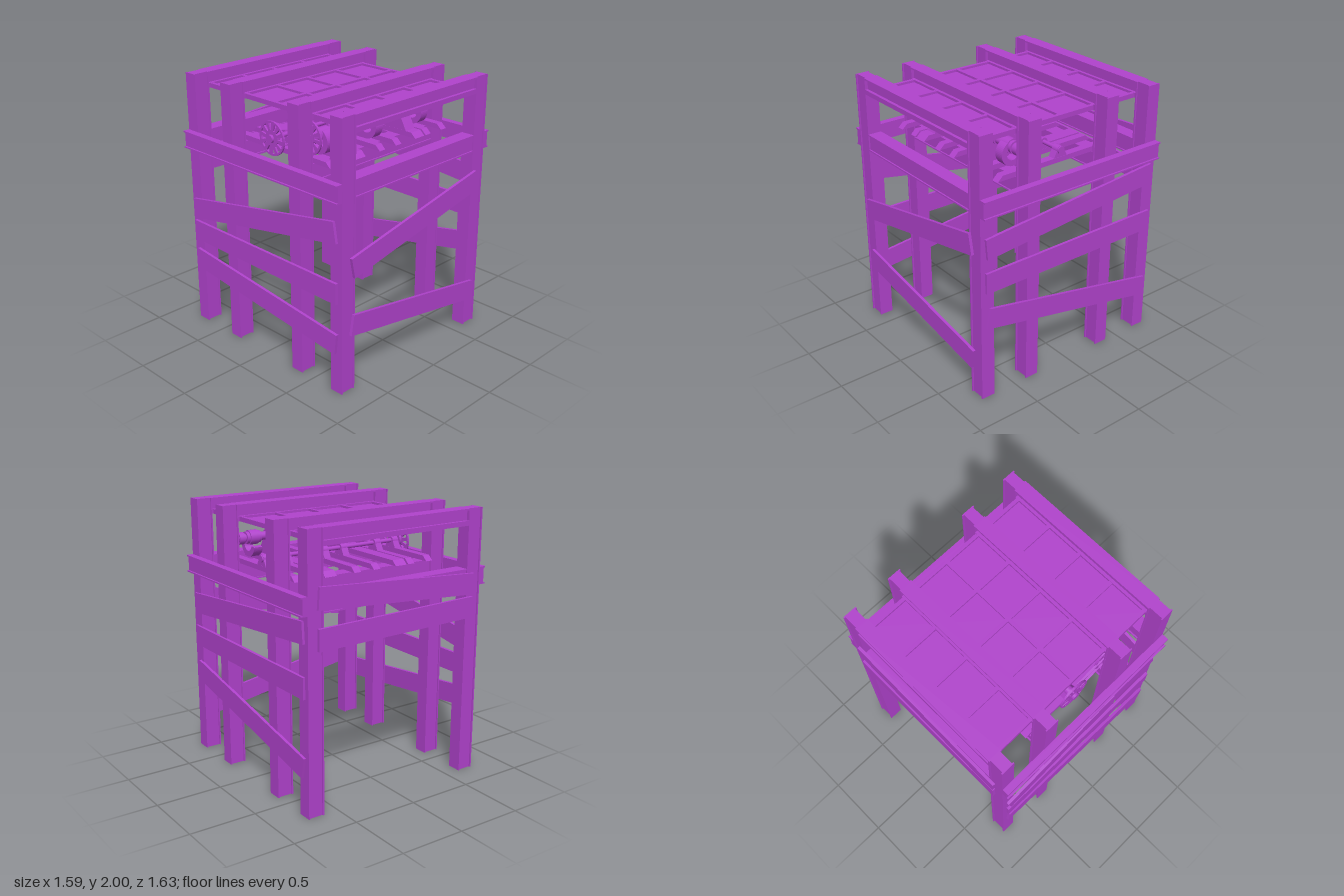
import * as THREE from 'three';

const mat = new THREE.MeshStandardMaterial({ color: 0xb042cc, flatShading: true });
const smooth = new THREE.MeshStandardMaterial({ color: 0xb042cc });

function add(parent, name, geo, x = 0, y = 0, z = 0, m = mat) {
  const mesh = new THREE.Mesh(geo, m);
  mesh.name = name;
  mesh.position.set(x, y, z);
  parent.add(mesh);
  return mesh;
}
const box = (p, name, w, h, d, x, y, z) => add(p, name, new THREE.BoxGeometry(w, h, d), x, y, z);

// cylinder lying along x
function rod(p, name, r, len, x, y, z, sides = 24) {
  const g = new THREE.CylinderGeometry(r, r, len, sides).rotateZ(Math.PI / 2);
  return add(p, name, g, x, y, z, smooth);
}

// outline drawn in (z, y), extruded along x and centred on it
function plateAlongX(shape, width) {
  const g = new THREE.ExtrudeGeometry(shape, { depth: width, bevelEnabled: false, curveSegments: 16 });
  return g.translate(0, 0, -width / 2).rotateY(-Math.PI / 2);
}

// plank from (a, y0) to (b, y1), fixed to a side face or an end face
function plank(p, name, face, at, a, y0, b, y1) {
  const len = Math.hypot(b - a, y1 - y0), slope = Math.atan2(y1 - y0, b - a);
  const g = new THREE.BoxGeometry(len, 0.155, 0.022).rotateZ(slope);
  if (face === 'side') {
    g.rotateY(-Math.PI / 2);
    add(p, name, g, at, (y0 + y1) / 2, (a + b) / 2);
  } else add(p, name, g, (a + b) / 2, (y0 + y1) / 2, at);
}

// spoked wheel with wedge-shaped openings
function wheelGeometry(radius, width) {
  const s = new THREE.Shape().absarc(0, 0, radius, 0, Math.PI * 2);
  const n = 12, step = Math.PI * 2 / n;
  for (let i = 0; i < n; i++) {
    const a = i * step, h = new THREE.Path();
    h.absarc(0, 0, radius * 0.88, a, a + step * 0.5, false);
    h.absarc(0, 0, radius * 0.48, a + step * 0.45, a + step * 0.05, true);
    h.closePath();
    s.holes.push(h);
  }
  return plateAlongX(s, width);
}

export function createModel() {
  const model = new THREE.Group();
  model.name = 'machineFrame';
  const rows = [0.737, 0.343, -0.343, -0.737];

  // posts and cross beams
  for (const z of rows) {
    for (const s of [1, -1]) {
      const post = new THREE.Group();
      post.name = 'post';
      box(post, 'postWeb', 0.11, 2, 0.085, 0, 1, 0);
      for (const e of [1, -1]) box(post, 'postFlange', 0.01, 2, 0.107, e * 0.0575, 1, 0);
      post.position.set(s * 0.682, 0, z);
      model.add(post);
    }
    const roofBeam = new THREE.Group();
    roofBeam.name = 'roofBeam';
    box(roofBeam, 'web', 1.24, 0.1, 0.06, 0, 1.94, z);
    box(roofBeam, 'topFlange', 1.24, 0.012, 0.107, 0, 1.994, z);
    box(roofBeam, 'bottomFlange', 1.24, 0.035, 0.107, 0, 1.8975, z);
    model.add(roofBeam);
    const floorBeam = new THREE.Group();
    floorBeam.name = 'machineBeam';
    box(floorBeam, 'web', 1.24, 0.11, 0.085, 0, 1.503, z);
    for (const e of [1, -1]) box(floorBeam, 'flange', 1.24, 0.01, 0.107, 0, 1.503 + e * 0.06, z);
    model.add(floorBeam);
  }

  // long rails outside the posts
  for (const s of [1, -1]) {
    box(model, 'sideRail', 0.04, 0.11, 1.58, s * 0.763, 1.503, 0);
    for (const e of [1, -1]) box(model, 'sideRailFlange', 0.054, 0.01, 1.58, s * 0.77, 1.503 + e * 0.06, 0);
  }

  // roof panel with ribs
  box(model, 'roofPanel', 1.22, 0.015, 1.38, 0, 1.89, 0);
  for (const x of [-0.597, -0.298, 0, 0.298, 0.597]) box(model, 'roofRib', 0.028, 0.034, 1.38, x, 1.897, 0);
  box(model, 'middleRib', 1.22, 0.034, 0.03, 0, 1.897, 0);

  // bracing planks
  const planks = [
    ['side', 0.752, 0.75, 1.197, -0.75, 1.322],
    ['side', 0.752, 0.755, 0.94, -0.755, 0.94],
    ['side', 0.752, 0.737, 0.66, -0.742, 0.366],
    ['side', -0.757, 0.74, 1.222, -0.74, 0.957],
    ['side', -0.757, 0.755, 0.778, -0.755, 0.778],
    ['side', -0.757, 0.75, 0.39, -0.75, 0.545],
    ['end', 0.802, -0.658, 0.95, 0.658, 1.217],
    ['end', 0.802, -0.66, 0.522, 0.66, 0.302],
    ['end', -0.802, -0.67, 1.458, 0.67, 1.547],
    ['end', -0.802, -0.67, 1.287, 0.67, 1.267],
  ];
  for (const k of planks) plank(model, 'bracePlank', ...k);

  // machinery
  const machine = new THREE.Group();
  machine.name = 'driveMachinery';
  model.add(machine);
  const upper = { y: 1.742, z: 0.343 }, lower = { y: 1.657, z: 0 };

  // skids with chamfered ends
  const skid = new THREE.Shape([[0.54, 1.568], [0.5, 1.605], [-0.39, 1.605], [-0.43, 1.568]]
    .map(([z, y]) => new THREE.Vector2(z, y)));
  for (const x of [-0.575, -0.405, -0.31, -0.09, 0.08, 0.31, 0.405, 0.58])
    add(machine, 'skid', plateAlongX(skid, Math.abs(Math.abs(x) - 0.31) < 0.01 ? 0.1 : 0.058), x);

  // upper shaft, pedestals and collars
  rod(machine, 'upperShaft', 0.031, 1.21, 0, upper.y, upper.z);
  const pedestal = new THREE.Shape([[0.45, 1.6], [0.385, 1.72], [0.3, 1.72], [0.235, 1.6]]
    .map(([z, y]) => new THREE.Vector2(z, y)));
  for (const s of [1, -1]) {
    add(machine, 'upperPedestal', plateAlongX(pedestal, 0.098), s * 0.31);
    for (const dx of [-0.04, 0.04]) rod(machine, 'upperBearing', 0.044, 0.022, s * 0.31 + dx, upper.y, upper.z);
  }
  for (const [x, w, r] of [[-0.56, 0.07, 0.056], [-0.485, 0.09, 0.045], [-0.01, 0.115, 0.045],
    [-0.01, 0.07, 0.054], [0.48, 0.12, 0.045], [0.48, 0.07, 0.054], [0.58, 0.045, 0.045]])
    rod(machine, 'shaftCollar', r, w, x, upper.y, upper.z);

  // curved lifting cams
  const cam = new THREE.Shape();
  cam.absarc(0, 0, 0.092, -0.5, Math.PI * 1.15, false);
  cam.absarc(0, 0, 0.05, Math.PI * 1.15, -0.5, true);
  cam.closePath();
  for (const x of [-0.485, -0.01, 0.48]) {
    const c = add(machine, 'cam', plateAlongX(cam, 0.072), x, 1.692, upper.z);
    c.rotation.x = Math.PI * 0.8;
  }

  // lower shaft and bearing blocks
  rod(machine, 'lowerShaft', 0.016, 1.26, -0.015, lower.y, lower.z, 16);
  const block = new THREE.Shape();
  block.moveTo(-0.06, 1.6);
  block.lineTo(0.06, 1.6);
  block.lineTo(0.032, 1.655);
  block.absarc(0, 1.655, 0.032, 0, Math.PI, false);
  block.closePath();
  for (const x of [-0.575, -0.405, -0.09, 0.08, 0.405, 0.58])
    add(machine, 'lowerBearing', plateAlongX(block, 0.056), x);

  // spoked wheels with hubs and a belt
  for (const [c, x] of [[upper, -0.608], [lower, -0.626]]) {
    add(machine, 'spokedWheel', wheelGeometry(0.125, 0.014), x, c.y, c.z);
    rod(machine, 'pulley', 0.052, 0.03, -0.615, c.y, c.z);
  }
  rod(machine, 'wheelHub', 0.03, 0.02, -0.645, lower.y, lower.z);
  rod(machine, 'shaftEnd', 0.028, 0.016, 0.61, lower.y, lower.z);
  const tilt = Math.atan2(upper.y - lower.y, upper.z - lower.z);
  for (const s of [1, -1]) {
    const belt = box(machine, 'belt', 0.016, 0.005, Math.hypot(upper.y - lower.y, upper.z - lower.z),
      -0.615, (upper.y + lower.y) / 2 + s * 0.053 * Math.cos(tilt), upper.z / 2 - s * 0.053 * Math.sin(tilt));
    belt.rotation.x = -tilt;
  }
  return model;
}
